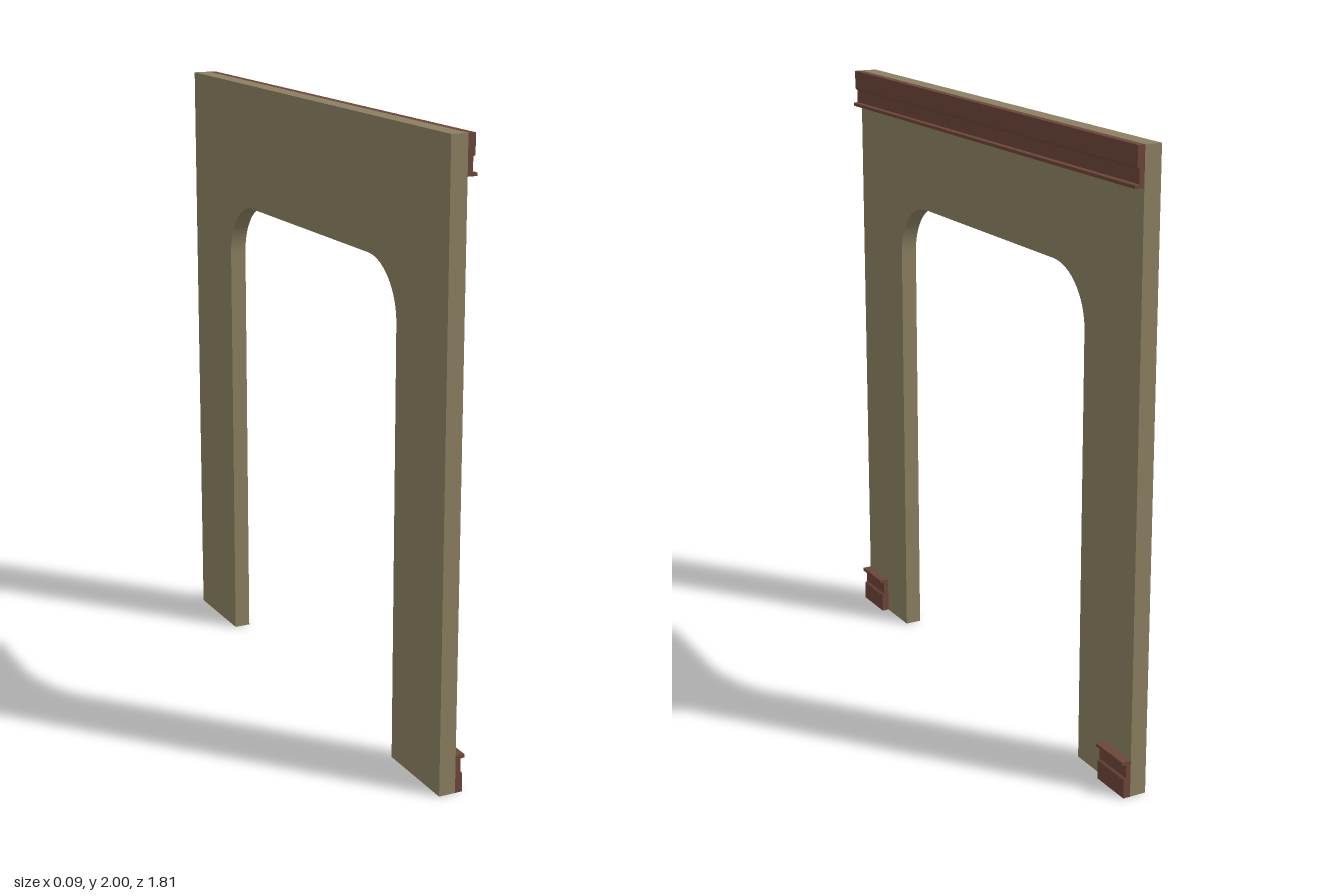
import * as THREE from 'three';

const BACK = -0.043, FACE = 0.012, HALF = 0.907;

// Extrudes a shape drawn in (x, y) along its own z, as a centred mesh part.
function extrude(shape, depth, material, name) {
  const geometry = new THREE.ExtrudeGeometry(shape, { depth, bevelEnabled: false, curveSegments: 16 });
  const mesh = new THREE.Mesh(geometry, material);
  mesh.name = name;
  return mesh;
}

export function createModel() {
  const model = new THREE.Group();
  model.name = 'archedWall';
  const plaster = new THREE.MeshStandardMaterial({ color: 0x8c8062 });
  plaster.name = 'tan plaster';
  const wood = new THREE.MeshStandardMaterial({ color: 0x6b4639 });
  wood.name = 'brown wood';

  // Wall slab with a round-cornered doorway open at the floor
  const half = 0.605, top = 1.585, r = 0.185;
  const outline = new THREE.Shape();
  outline.moveTo(-HALF, 0);
  outline.lineTo(-half, 0);
  outline.lineTo(-half, top - r);
  outline.absarc(-half + r, top - r, r, Math.PI, Math.PI / 2, true);
  outline.lineTo(half - r, top);
  outline.absarc(half - r, top - r, r, Math.PI / 2, 0, true);
  outline.lineTo(half, 0);
  outline.lineTo(HALF, 0);
  outline.lineTo(HALF, 2);
  outline.lineTo(-HALF, 2);
  outline.closePath();
  const wall = extrude(outline, FACE - BACK, plaster, 'wall');
  wall.rotation.y = Math.PI / 2;
  wall.position.x = BACK;
  model.add(wall);

  // Stepped moulding profile: thick board, recessed band, thin lip
  const profile = [[FACE, 0], [0.036, 0], [0.036, 0.062], [0.029, 0.067],
    [0.029, 0.11], [0.043, 0.112], [0.043, 0.122], [FACE, 0.122]];
  const moulding = (name, z0, z1, flipped) => {
    const points = profile.map(([x, y]) => new THREE.Vector2(x, flipped ? 2 - y : y));
    const mesh = extrude(new THREE.Shape(points), z1 - z0, wood, name);
    mesh.position.z = z0;
    model.add(mesh);
  };

  // Cornice along the top, and a skirting piece on each outer foot
  moulding('cornice', -HALF, HALF, true);
  moulding('frontSkirting', 0.758, HALF, false);
  moulding('backSkirting', -HALF, -0.758, false);

  return model;
}
